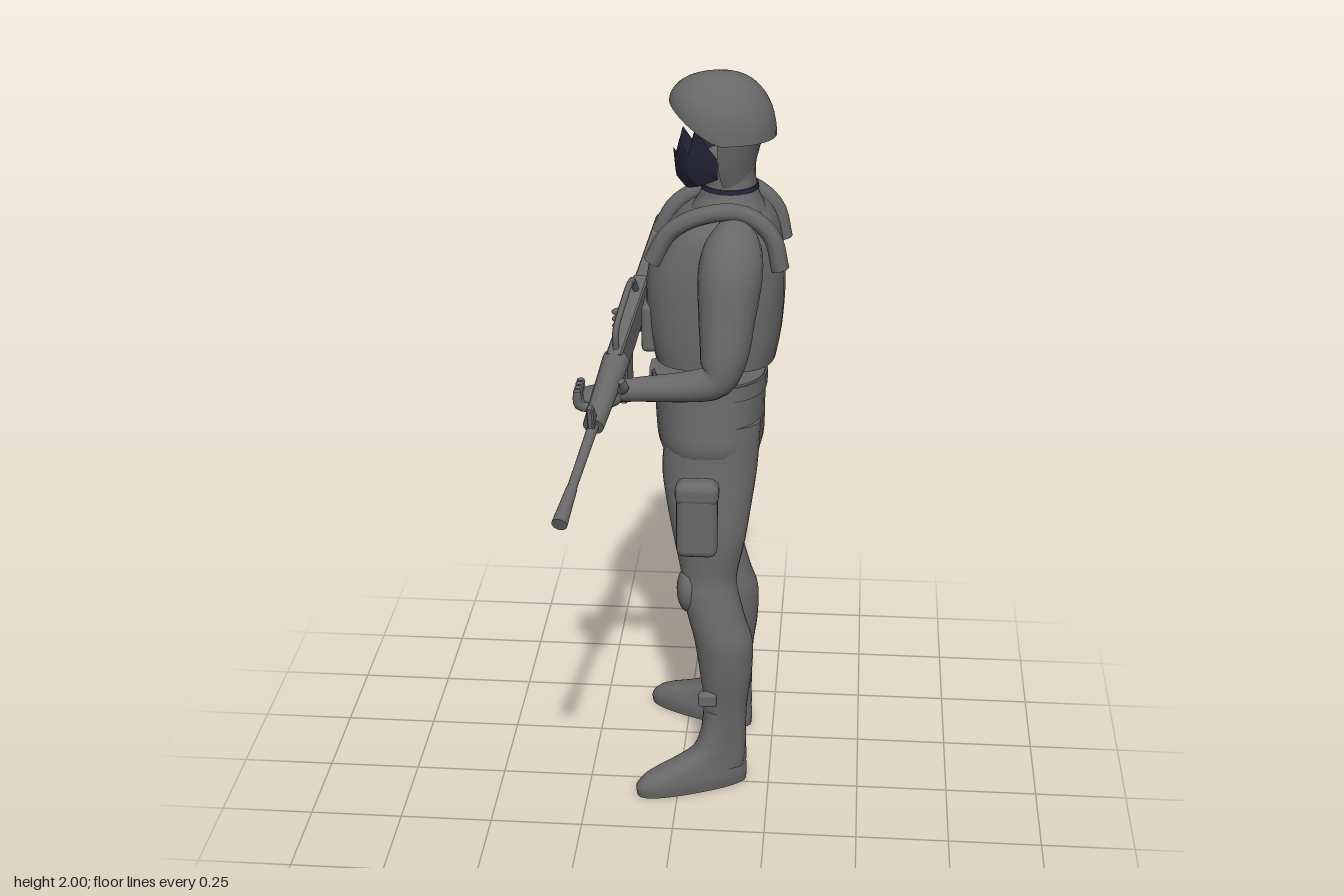
import * as THREE from 'three';
import { RoundedBoxGeometry } from 'three/addons/geometries/RoundedBoxGeometry.js';

const V = (x, y, z) => new THREE.Vector3(x, y, z);

// Smooth interpolation of every column of a table of rows
function refine(rows, steps = 4) {
  const out = [], at = i => rows[Math.min(Math.max(i, 0), rows.length - 1)];
  for (let i = 0; i < rows.length - 1; i++)
    for (let k = 0; k < steps; k++) {
      const t = k / steps;
      out.push(rows[i].map((b, c) => {
        const a = at(i - 1)[c], d = at(i + 1)[c], e = at(i + 2)[c];
        return b + 0.5 * t * (d - a + t * (2 * a - 5 * b + 4 * d - e + t * (3 * (b - d) + e - a)));
      }));
    }
  out.push(rows[rows.length - 1]);
  return out;
}

// Skin over rings of points, closed round and capped unless open
function skin(rings, open = false) {
  const n = rings[0].length, pts = rings.flat(), idx = [];
  for (let r = 0; r < rings.length - 1; r++)
    for (let i = 0; i < (open ? n - 1 : n); i++) {
      const a = r * n + i, b = r * n + (i + 1) % n;
      idx.push(a, a + n, b, b, a + n, b + n);
    }
  if (!open) [rings[0], rings[rings.length - 1]].forEach((ring, end) => {
    const s = pts.length, mid = ring.reduce((m, p) => m.add(p), V(0, 0, 0)).divideScalar(n);
    pts.push(...ring, mid);
    for (let i = 0; i < n; i++) {
      const a = s + i, b = s + (i + 1) % n;
      idx.push(...(end ? [a, s + n, b] : [a, b, s + n]));
    }
  });
  const g = new THREE.BufferGeometry().setFromPoints(pts);
  g.setIndex(idx);
  g.computeVertexNormals();
  return g;
}

// Level rings from rows of [y, centre x, centre z, radius x, radius z], lowest first
function stack(rows, power = 2, from = 0, sweep = Math.PI * 2, n = 28) {
  const open = sweep < 6, e = 2 / power;
  const f = v => Math.sign(v) * Math.abs(v) ** e;
  return skin(refine(rows).map(([y, cx, cz, rx, rz]) => Array.from({ length: open ? n + 1 : n }, (_, i) => {
    const a = from + sweep * i / n;
    return V(cx + rx * f(Math.cos(a)), y, cz + rz * f(Math.sin(a)));
  })), open);
}

// Round limb from rows of [x, y, z, radius]
function limb(rows, n = 18) {
  const fine = refine(rows);
  const curve = new THREE.CatmullRomCurve3(fine.map(r => V(...r)));
  curve.getPointAt = curve.getPoint;
  curve.getTangentAt = curve.getTangent;
  const { normals, binormals } = curve.computeFrenetFrames(fine.length - 1);
  return skin(fine.map((r, k) => Array.from({ length: n }, (_, i) => {
    const a = i / n * Math.PI * 2;
    return V(r[0], r[1], r[2]).addScaledVector(normals[k], r[3] * Math.cos(a))
      .addScaledVector(binormals[k], -r[3] * Math.sin(a));
  })));
}

export function createModel() {
  const grey = new THREE.MeshStandardMaterial({ color: 0x686868, side: THREE.DoubleSide });
  grey.name = 'grey';
  const navy = new THREE.MeshStandardMaterial({ color: 0x24243a, side: THREE.DoubleSide });
  navy.name = 'navy';
  const root = new THREE.Group();
  root.name = 'soldier';
  const add = (parent, name, geo, pos = [0, 0, 0], mat = grey) => {
    const m = new THREE.Mesh(geo, mat);
    m.name = name;
    m.position.set(...pos);
    parent.add(m);
    return m;
  };
  const box = (w, h, d, r = 0.012) => new RoundedBoxGeometry(w, h, d, 2, r);
  const ball = (x, y, z) => new THREE.SphereGeometry(1, 18, 12).scale(x, y, z);

  // The body looks towards -x and is symmetrical about z = -0.17
  const body = new THREE.Group();
  body.name = 'body';
  body.position.z = -0.17;
  root.add(body);

  // Trousers and belt
  add(body, 'hips', stack([[0.92, 0.08, 0, 0.05, 0.04], [0.95, 0.075, 0, 0.11, 0.12], [1.0, 0.073, 0, 0.14, 0.175],
    [1.1, 0.07, 0, 0.147, 0.168], [1.2, 0.068, 0, 0.15, 0.157]], 2.3));
  add(body, 'belt', stack([[1.155, 0.068, 0, 0.155, 0.165], [1.195, 0.068, 0, 0.155, 0.162]], 2.3));
  add(body, 'buckle', box(0.015, 0.05, 0.07, 0.005), [-0.085, 1.175, 0]);

  for (const side of [1, -1]) {
    const leg = new THREE.Group();
    leg.name = side > 0 ? 'leftLeg' : 'rightLeg';
    leg.scale.z = side;
    body.add(leg);
    add(leg, 'trouserLeg', stack([[0.06, 0.12, 0.165, 0.06, 0.04], [0.12, 0.12, 0.165, 0.065, 0.042],
      [0.25, 0.127, 0.167, 0.06, 0.048], [0.35, 0.127, 0.162, 0.072, 0.065], [0.45, 0.12, 0.16, 0.08, 0.073],
      [0.52, 0.1, 0.155, 0.078, 0.07], [0.6, 0.08, 0.147, 0.078, 0.063], [0.65, 0.078, 0.142, 0.077, 0.058],
      [0.75, 0.078, 0.135, 0.097, 0.066], [0.85, 0.075, 0.115, 0.115, 0.077], [0.95, 0.075, 0.092, 0.128, 0.087],
      [1.08, 0.085, 0.08, 0.125, 0.085]]));
    add(leg, 'kneePad', ball(0.035, 0.07, 0.052), [0.025, 0.6, 0.148]);
    add(leg, 'thighPouch', box(0.11, 0.22, 0.06, 0.022), [0.05, 0.85, 0.22]);
    add(leg, 'thighPouchFlap', box(0.116, 0.06, 0.066, 0.02), [0.05, 0.925, 0.219]);
    // Boots turned outwards
    const boot = add(leg, 'boot', stack([[0, -0.09, 0, 0.16, 0.044], [0.03, -0.09, 0, 0.162, 0.048],
      [0.06, -0.075, 0, 0.145, 0.045], [0.09, -0.035, 0, 0.105, 0.042], [0.12, -0.008, 0, 0.075, 0.043],
      [0.18, 0.003, 0, 0.062, 0.043], [0.24, 0.007, 0, 0.058, 0.045]], 2.4), [0.12, 0, 0.165]);
    boot.rotation.y = 0.4;

    // Vest straps and chest pouches
    const strap = new THREE.CatmullRomCurve3([V(-0.075, 1.53, 0.12), V(-0.03, 1.61, 0.12), V(0.06, 1.66, 0.125),
      V(0.16, 1.665, 0.125), V(0.23, 1.61, 0.125), V(0.255, 1.52, 0.125)]);
    add(body, 'vestStrap', new THREE.TubeGeometry(strap, 24, 0.024, 8), [0, 0, 0]).scale.z = side;
    add(body, 'chestPouch', box(0.04, 0.13, 0.1), [-0.085, 1.34, 0.065 * side]);
  }
  add(body.children.find(c => c.name === 'leftLeg'), 'anklePouch', box(0.05, 0.04, 0.03, 0.008), [0.08, 0.29, 0.212]);

  // Torso
  add(body, 'vest', stack([[1.25, 0.085, 0, 0.16, 0.175], [1.32, 0.083, 0, 0.175, 0.178], [1.42, 0.083, 0, 0.182, 0.178],
    [1.5, 0.086, 0, 0.176, 0.175], [1.58, 0.1, 0, 0.15, 0.168], [1.625, 0.11, 0, 0.12, 0.15],
    [1.65, 0.115, 0, 0.09, 0.11]], 3, 0, Math.PI * 2, 36));
  add(body, 'neck', stack([[1.6, 0.11, 0, 0.12, 0.16], [1.65, 0.115, 0, 0.095, 0.12], [1.69, 0.117, 0, 0.075, 0.085],
    [1.74, 0.117, 0, 0.066, 0.076], [1.79, 0.12, 0, 0.066, 0.08]]));
  add(body, 'collarLine', stack([[1.70, 0.117, 0, 0.076, 0.084], [1.712, 0.117, 0, 0.074, 0.082]]), [0, 0, 0], navy);

  // Head with an open face
  add(body, 'backOfHead', stack([[1.71, 0.11, 0, 0.065, 0.075], [1.76, 0.1, 0, 0.082, 0.092], [1.81, 0.098, 0, 0.096, 0.102],
    [1.86, 0.098, 0, 0.11, 0.108], [1.92, 0.098, 0, 0.115, 0.108]], 2, -1.65, 3.3));
  // Face mask with a jagged upper edge: [degrees from the front, top height]
  const edge = [[90, 1.8], [78, 1.83], [62, 1.875], [50, 1.80], [34, 1.84], [18, 1.78]];
  const jag = [...edge.map(([a, y]) => [-a, y]), [0, 1.8], ...edge.slice().reverse()];
  const maskRing = (height, radius) => jag.map(([deg, top]) => {
    const a = Math.PI - deg * Math.PI / 180, low = 1.70 + 0.04 * (deg / 90) ** 2;
    return V(0.09 + 0.12 * radius * Math.cos(a), low + (top - low) * height, 0.1 * radius * Math.sin(a));
  }).reverse();
  add(body, 'faceMask', skin([maskRing(0, 0.74), maskRing(0.4, 0.95), maskRing(1, 1)].map(r => r.reverse()), true),
    [0, 0, 0], navy);

  // Helmet: a dome whose rim rises over the face
  const dome = new THREE.SphereGeometry(1, 36, 14, 0, Math.PI * 2, 0, Math.PI / 2);
  const p = dome.attributes.position;
  for (let i = 0; i < p.count; i++) {
    const x = p.getX(i), z = p.getZ(i), y = Math.max(p.getY(i), 0), s = Math.hypot(x, z);
    const front = s > 0 ? -x / s : 0, rim = 1.84 + 0.085 * Math.max(0, front) ** 1.3;
    const grow = s > 0 ? s ** -0.15 : 1;
    p.setXYZ(i, 0.098 + 0.138 * x * grow, rim + (2 - rim) * y, 0.125 * z * grow);
  }
  dome.computeVertexNormals();
  add(body, 'helmet', dome);

  // Arms: the left one holds the rifle from below, the right one has its elbow out
  add(root, 'leftArm', limb([[0.14, 1.62, -0.06, 0.05], [0.135, 1.58, -0.02, 0.075], [0.13, 1.52, 0.02, 0.083],
    [0.125, 1.42, 0.055, 0.073], [0.12, 1.33, 0.085, 0.062], [0.1, 1.268, 0.1, 0.048], [0.03, 1.25, 0.105, 0.04],
    [-0.08, 1.243, 0.112, 0.033], [-0.16, 1.238, 0.12, 0.028]]));
  add(root, 'rightArm', limb([[0.14, 1.62, -0.28, 0.05], [0.14, 1.58, -0.33, 0.075], [0.135, 1.53, -0.38, 0.083],
    [0.09, 1.46, -0.44, 0.075], [0.03, 1.4, -0.49, 0.065], [-0.025, 1.362, -0.51, 0.054], [-0.07, 1.345, -0.465, 0.047],
    [-0.12, 1.328, -0.38, 0.04], [-0.15, 1.315, -0.29, 0.032], [-0.16, 1.31, -0.23, 0.028]]));
  add(root, 'wristBand', limb([[-0.132, 1.322, -0.345, 0.04], [-0.145, 1.317, -0.308, 0.037]]), [0, 0, 0], navy);

  // Rifle built along its own z axis, butt at the origin
  const rifle = new THREE.Group();
  rifle.name = 'rifle';
  rifle.position.set(-0.08, 1.5, -0.44);
  rifle.lookAt(-0.247, 1.07, 0.56);
  root.add(rifle);
  const side = (points, width) => new THREE.ExtrudeGeometry(
    new THREE.Shape(points.map(q => new THREE.Vector2(...q))),
    { depth: width, bevelEnabled: true, bevelSize: 0.004, bevelThickness: 0.004, bevelSegments: 1 })
    .translate(0, 0, -width / 2).rotateY(-Math.PI / 2);
  add(rifle, 'stock', side([[0, -0.085], [0.27, -0.025], [0.27, 0.025], [0, 0.025]], 0.028));
  add(rifle, 'receiver', side([[0.25, -0.03], [0.42, -0.045], [0.52, -0.045], [0.54, 0.03], [0.25, 0.03]], 0.034));
  add(rifle, 'pistolGrip', side([[0.25, -0.12], [0.285, -0.13], [0.33, -0.03], [0.29, -0.03]], 0.024));
  add(rifle, 'magazine', side([[0.43, -0.03], [0.49, -0.03], [0.535, -0.15], [0.48, -0.17]], 0.022));
  const handle = new THREE.CatmullRomCurve3([V(0, 0.03, 0.3), V(0, 0.085, 0.32), V(0, 0.09, 0.42), V(0, 0.075, 0.5), V(0, 0.03, 0.52)]);
  add(rifle, 'carryHandle', new THREE.TubeGeometry(handle, 20, 0.009, 6));
  const rod = (a, b, z0, z1) => new THREE.CylinderGeometry(b, a, z1 - z0, 14).rotateX(Math.PI / 2).translate(0, 0, (z0 + z1) / 2);
  add(rifle, 'handguard', rod(0.036, 0.027, 0.53, 0.77));
  add(rifle, 'barrel', rod(0.014, 0.012, 0.76, 1.03));
  add(rifle, 'muzzle', rod(0.014, 0.02, 0.98, 1.1));
  add(rifle, 'frontSight', side([[0.75, 0], [0.79, 0], [0.775, 0.065], [0.765, 0.065]], 0.01));

  // Hands with curled fingers
  add(root, 'leftHand', ball(0.06, 0.028, 0.05), [-0.195, 1.225, 0.13]);
  add(root, 'rightHand', ball(0.032, 0.042, 0.045), [-0.155, 1.315, -0.2]);
  for (let i = 0; i < 4; i++) {
    const z = 0.1 + i * 0.026;
    add(root, 'leftFinger', limb([[-0.2, 1.215, z, 0.013], [-0.24, 1.225, z + 0.01, 0.013], [-0.245, 1.265, z + 0.012, 0.01]], 8));
    add(root, 'rightFinger', ball(0.03, 0.012, 0.014), [-0.165, 1.345 - i * 0.022, -0.165 - i * 0.006]);
  }
  add(root, 'leftThumb', limb([[-0.15, 1.235, 0.12, 0.014], [-0.13, 1.26, 0.15, 0.013], [-0.135, 1.285, 0.165, 0.01]], 8));
  return root;
}
